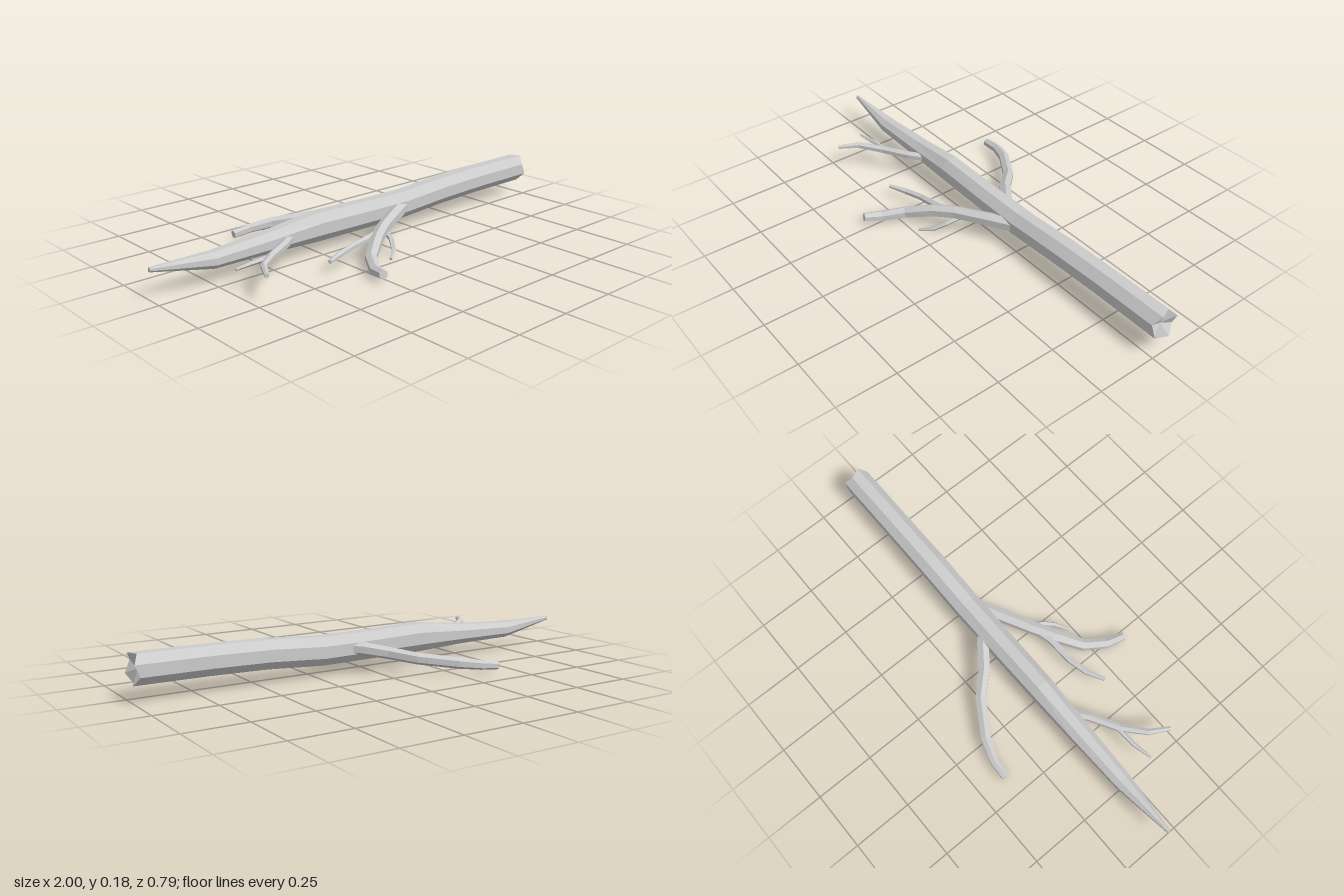
import * as THREE from 'three';

const material = new THREE.MeshStandardMaterial({ color: 0xcccccc, flatShading: true });

// Loft of polygon rings along stations [x, y, z, halfWidth, halfHeight = halfWidth].
// jag pushes the start ring in and out and sinks its centre, like snapped wood.
function limb(name, stations, sides, jag = 0) {
  const pts = stations.map(s => new THREE.Vector3(s[0], s[1], s[2]));
  const pos = [], index = [];
  const last = pts.length - 1;
  const add = v => pos.push(v.x, v.y, v.z) / 3 - 1;
  const tangent = i => pts[Math.min(i + 1, last)].clone().sub(pts[Math.max(i - 1, 0)]).normalize();
  const grow = 1 / Math.cos(Math.PI / sides);

  pts.forEach((p, i) => {
    const t = tangent(i);
    const side = t.clone().cross(new THREE.Vector3(0, 1, 0)).normalize();
    const up = side.clone().cross(t);
    const [, , , w, h = w] = stations[i];
    for (let j = 0; j < sides; j++) {
      const a = (j + 0.5) / sides * Math.PI * 2;
      const v = p.clone()
        .addScaledVector(side, Math.cos(a) * w * grow)
        .addScaledVector(up, Math.sin(a) * h * grow);
      if (i === 0 && j % 2) v.addScaledVector(t, jag);
      add(v);
    }
  });

  // Bark faces
  for (let i = 0; i < last; i++) {
    for (let j = 0; j < sides; j++) {
      const a = i * sides + j, b = i * sides + (j + 1) % sides;
      index.push(a, a + sides, b, b, a + sides, b + sides);
    }
  }
  // End caps
  const c0 = add(pts[0].clone().addScaledVector(tangent(0), jag * 1.5));
  const c1 = add(pts[last]);
  for (let j = 0; j < sides; j++) {
    const k = (j + 1) % sides;
    index.push(c0, j, k, c1, last * sides + k, last * sides + j);
  }
  const geo = new THREE.BufferGeometry();
  geo.setAttribute('position', new THREE.Float32BufferAttribute(pos, 3));
  geo.setIndex(index);
  geo.computeVertexNormals();
  const mesh = new THREE.Mesh(geo, material);
  mesh.name = name;
  return mesh;
}

export function createModel() {
  const group = new THREE.Group();
  group.name = 'fallenBranch';

  // Main stem, from the snapped thick end to the pointed tip
  group.add(limb('stem', [
    [1, 0.123, -0.05, 0.054, 0.058],
    [0.7, 0.122, -0.05, 0.054, 0.058],
    [0.46, 0.117, -0.049, 0.055, 0.058],
    [0.22, 0.102, -0.05, 0.054, 0.058],
    [0, 0.104, -0.05, 0.053, 0.058],
    [-0.25, 0.108, -0.05, 0.051, 0.06],
    [-0.48, 0.1, -0.05, 0.044, 0.043],
    [-0.74, 0.092, -0.05, 0.035, 0.033],
    [-1, 0.12, -0.052, 0.007, 0.009],
  ], 8, 0.02));

  // Large front branch and its two twigs
  group.add(limb('frontBranch', [
    [0.24, 0.1, -0.04, 0.026],
    [0.12, 0.095, 0.025, 0.026],
    [-0.02, 0.085, 0.1, 0.024],
    [-0.1, 0.07, 0.15, 0.024],
    [-0.2, 0.036, 0.225, 0.022],
    [-0.255, 0.023, 0.31, 0.02],
    [-0.28, 0.035, 0.382, 0.016],
  ], 6));
  group.add(limb('frontTwig', [
    [-0.02, 0.08, 0.1, 0.014],
    [-0.1, 0.075, 0.125, 0.014],
    [-0.22, 0.06, 0.132, 0.012],
    [-0.3, 0.052, 0.152, 0.011],
    [-0.375, 0.055, 0.188, 0.007],
  ], 6));
  group.add(limb('smallFrontTwig', [
    [0, 0.07, 0.09, 0.01],
    [-0.02, 0.05, 0.15, 0.009],
    [-0.05, 0.025, 0.195, 0.008],
    [-0.1, 0.008, 0.232, 0.005],
  ], 5));

  // Back branch
  group.add(limb('backBranch', [
    [0.12, 0.105, -0.05, 0.024],
    [0.05, 0.1, -0.11, 0.024],
    [-0.03, 0.085, -0.17, 0.022],
    [-0.11, 0.068, -0.255, 0.021],
    [-0.25, 0.049, -0.345, 0.02],
    [-0.34, 0.036, -0.376, 0.017],
    [-0.42, 0.026, -0.382, 0.015],
  ], 6));

  // Branch near the tip, with its twig
  group.add(limb('tipBranch', [
    [-0.38, 0.1, -0.04, 0.016],
    [-0.46, 0.1, 0.022, 0.016],
    [-0.57, 0.098, 0.085, 0.015],
    [-0.66, 0.106, 0.16, 0.012],
    [-0.705, 0.104, 0.238, 0.008],
  ], 6));
  group.add(limb('tipTwig', [
    [-0.52, 0.098, 0.062, 0.009],
    [-0.58, 0.096, 0.08, 0.009],
    [-0.66, 0.094, 0.084, 0.008],
    [-0.74, 0.096, 0.1, 0.004],
  ], 5));

  return group;
}
